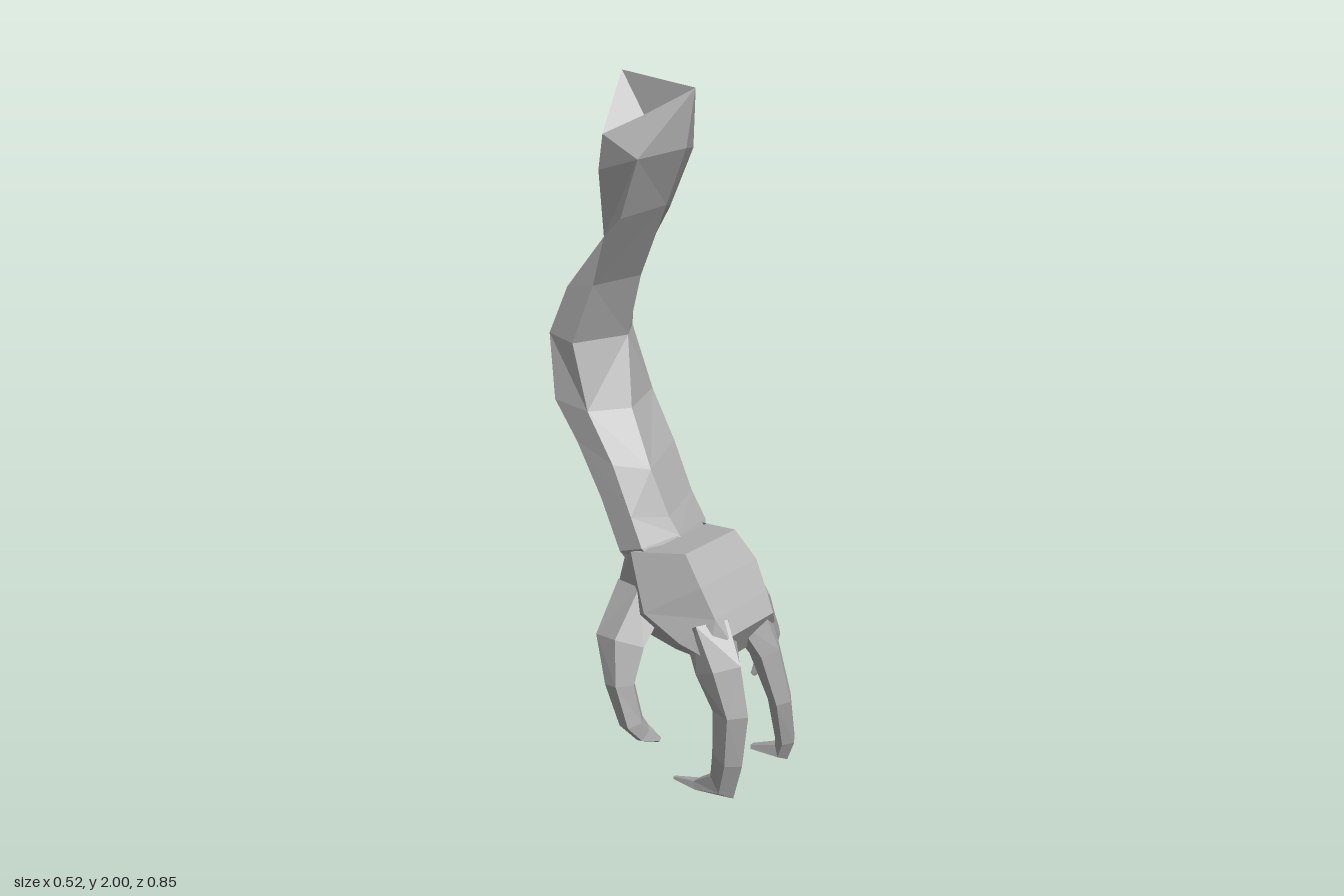
import * as THREE from 'three';

const skin = new THREE.MeshStandardMaterial({ color: 0xb2b2b2, side: THREE.DoubleSide });
skin.name = 'grey skin';

// Faceted skin over a list of rings, with extra cap triangles
function loft(name, rings, caps) {
  const pos = [];
  const tri = (a, b, c) => [a, b, c].forEach(p => pos.push(p.x, p.y, p.z));
  const n = rings[0].length;
  for (let i = 0; i < rings.length - 1; i++) {
    for (let j = 0; j < n; j++) {
      const k = (j + 1) % n;
      const a = rings[i][j], b = rings[i][k], c = rings[i + 1][j], d = rings[i + 1][k];
      if ((i + j) % 2) { tri(a, c, b); tri(b, c, d); }
      else { tri(a, c, d); tri(a, d, b); }
    }
  }
  caps(tri, rings);
  const geo = new THREE.BufferGeometry();
  geo.setAttribute('position', new THREE.Float32BufferAttribute(pos, 3));
  geo.computeVertexNormals();
  const mesh = new THREE.Mesh(geo, skin);
  mesh.name = name;
  return mesh;
}

function closeEnd(tri, rings) {
  const ring = rings[rings.length - 1], c = new THREE.Vector3();
  ring.forEach(p => c.addScaledVector(p, 1 / ring.length));
  ring.forEach((p, j) => tri(p, c, ring[(j + 1) % ring.length]));
}

// Six-sided arm section; the front and back ridges have their own x
function armSection([zf, yf, zb, yb, x0, x1, xf = (x0 + x1) / 2, xb = xf]) {
  return [xf, x1, x1, xb, x0, x0].map((x, k) => {
    const c = Math.cos(k * Math.PI / 3);
    return new THREE.Vector3(x, (yf + yb) / 2 + c * (yf - yb) / 2, (zf + zb) / 2 + c * (zf - zb) / 2);
  });
}

// Six-sided palm section with a broad top and a narrower underside
function palmSection([zf, yf, zb, yb, x0, x1]) {
  return [[0.65, 1], [1, 0], [0.45, -1], [-0.5, -1], [-1, 0], [-0.7, 1]].map(([s, c]) => new THREE.Vector3(
    (x0 + x1) / 2 + s * (x1 - x0) / 2,
    (yf + yb) / 2 + c * (yf - yb) / 2,
    (zf + zb) / 2 + c * (zf - zb) / 2));
}

// Five-sided tapering finger; each joint is [x, y, z, half width, half depth]
function finger(name, joints) {
  const pts = joints.map(j => new THREE.Vector3(j[0], j[1], j[2]));
  const rings = joints.map(([, , , w, d], i) => {
    const t = pts[Math.min(i + 1, pts.length - 1)].clone().sub(pts[Math.max(i - 1, 0)]).normalize();
    const u = t.clone().cross(new THREE.Vector3(1, 0, 0)).normalize();
    const v = u.clone().cross(t);
    return Array.from({ length: 5 }, (_, k) => {
      const a = k * Math.PI * 2 / 5;
      return pts[i].clone().addScaledVector(u, d * Math.cos(a)).addScaledVector(v, w * Math.sin(a));
    });
  });
  return loft(name, rings, closeEnd);
}

export function createModel() {
  const model = new THREE.Group();
  model.name = 'clawedArm';

  // Arm: front z, front y, back z, back y, right x, left x, ridge x in front and behind
  const arm = [
    [0.12, 1.98, -0.13, 2.00, -0.14, 0.085, -0.015],
    [0.095, 1.83, -0.18, 1.74, -0.125, 0.085, -0.02, 0.01],
    [0.01, 1.67, -0.23, 1.56, -0.11, 0.08, 0, 0.04],
    [-0.12, 1.45, -0.36, 1.39, -0.085, 0.08, 0.04, 0.055],
    [-0.19, 1.26, -0.425, 1.26, -0.10, 0.14, 0.06, 0.055],
    [-0.13, 1.07, -0.39, 1.08, -0.10, 0.165, 0.01, 0.04],
    [-0.03, 0.92, -0.31, 0.99, -0.10, 0.155, -0.02, 0.03],
    [0.03, 0.79, -0.20, 0.84, -0.105, 0.15, -0.01, 0.02],
    [0.06, 0.74, -0.11, 0.67, -0.11, 0.16, 0, 0.02],
    [0.11, 0.68, -0.07, 0.58, -0.07, 0.11],
  ].map(armSection);
  // Slanted rim, and the hollows above and behind the elbow
  arm[0][1].set(0.085, 1.96, 0.02);
  arm[0][2].set(0.085, 1.96, -0.02);
  arm[0][4].set(-0.14, 1.86, -0.08);
  arm[0][5].set(-0.085, 1.91, 0.01);
  arm[2][4].set(-0.065, 1.57, -0.155);
  arm[3][4].x = -0.065;
  arm[4][4].x = -0.075;
  model.add(loft('arm', arm, (tri, [r]) => {
    // Severed top: a flat half and a hollow half
    const pit = new THREE.Vector3(-0.03, 1.83, 0.01);
    tri(r[0], r[1], r[2]);
    tri(r[0], r[2], r[3]);
    [[3, 4], [4, 5], [5, 0], [0, 3]].forEach(([a, b]) => tri(r[a], r[b], pit));
  }));

  // Palm: top z, top y, underside z, underside y, right x, left x
  model.add(loft('palm', [
    [0.06, 0.735, -0.10, 0.67, -0.115, 0.165],
    [0.165, 0.75, -0.12, 0.55, -0.14, 0.17],
    [0.25, 0.69, -0.07, 0.46, -0.18, 0.17],
    [0.31, 0.62, 0.14, 0.45, -0.185, 0.14],
    [0.345, 0.57, 0.28, 0.45, -0.165, 0.12],
  ].map(palmSection), closeEnd));

  // Fingers curl down and back to pointed tips
  model.add(finger('rightFinger', [
    [-0.10, 0.57, 0.26, 0.075, 0.075],
    [-0.13, 0.47, 0.325, 0.055, 0.08],
    [-0.135, 0.36, 0.372, 0.043, 0.058],
    [-0.125, 0.20, 0.355, 0.036, 0.05],
    [-0.105, 0.085, 0.322, 0.032, 0.048],
    [-0.095, 0.03, 0.22, 0.02, 0.02],
    [-0.09, 0.006, 0.125, 0.006, 0.006],
  ]));
  model.add(finger('middleFinger', [
    [0.05, 0.56, 0.26, 0.07, 0.07],
    [0.08, 0.44, 0.315, 0.045, 0.05],
    [0.11, 0.28, 0.35, 0.035, 0.037],
    [0.155, 0.12, 0.34, 0.03, 0.032],
    [0.17, 0.06, 0.32, 0.032, 0.03],
    [0.165, 0.025, 0.21, 0.012, 0.01],
  ]));
  model.add(finger('leftFinger', [
    [0.11, 0.59, 0.13, 0.07, 0.08],
    [0.185, 0.52, 0.19, 0.04, 0.058],
    [0.23, 0.40, 0.215, 0.027, 0.035],
    [0.238, 0.29, 0.19, 0.022, 0.03],
    [0.215, 0.235, 0.165, 0.008, 0.008],
  ]));
  model.add(finger('thumb', [
    [-0.09, 0.58, 0.01, 0.07, 0.09],
    [-0.185, 0.46, 0.01, 0.062, 0.085],
    [-0.222, 0.35, 0.04, 0.038, 0.052],
    [-0.215, 0.235, 0.075, 0.034, 0.042],
    [-0.19, 0.195, 0.095, 0.03, 0.027],
    [-0.155, 0.17, 0.125, 0.008, 0.01],
  ]));
  return model;
}
